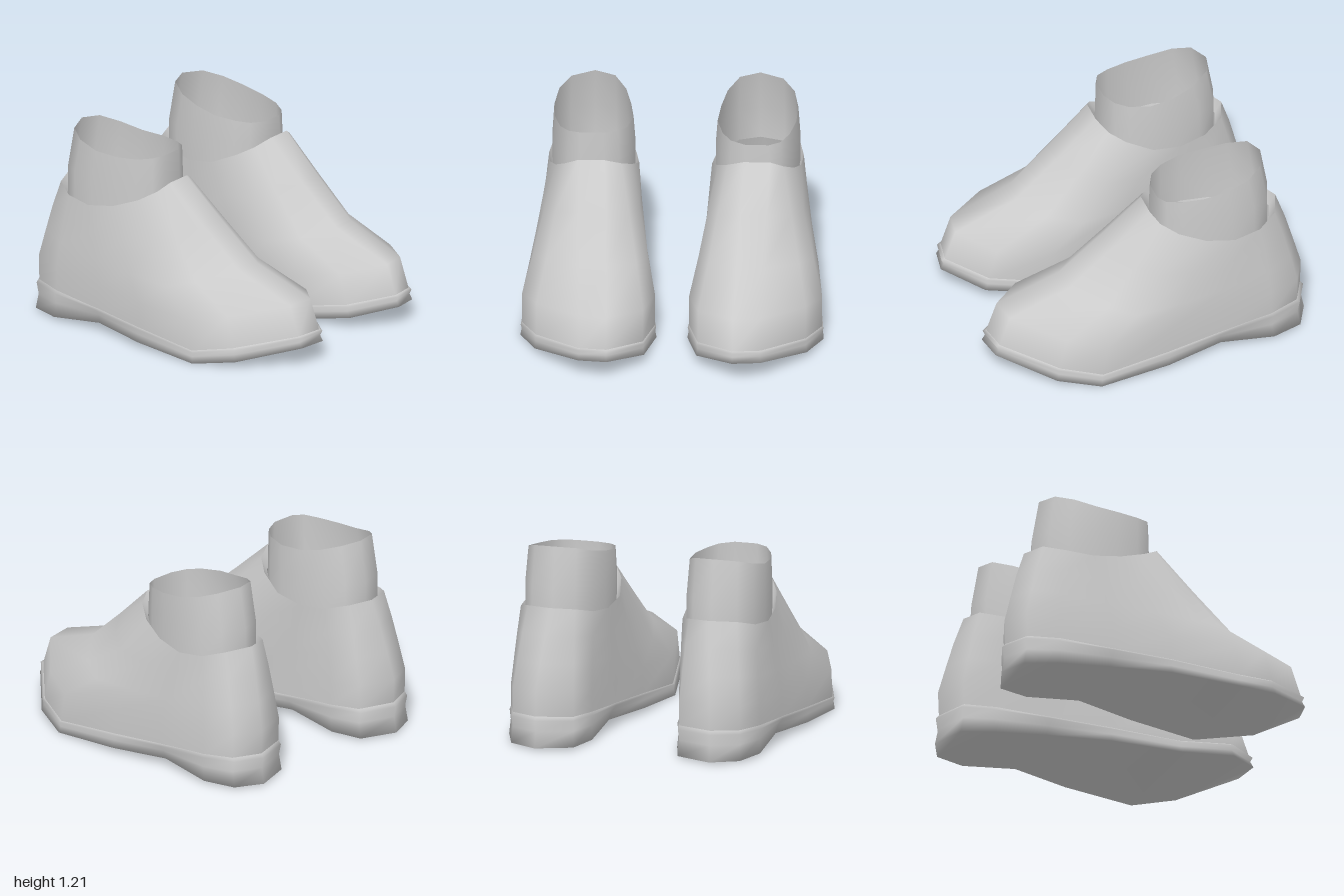
import * as THREE from 'three';

const lerp = THREE.MathUtils.lerp;
const clamp = THREE.MathUtils.clamp;

// Plan outline [x, z]: toe, outer side, heel, inner side and back to the toe
const outline = [
  [0.55, 0.97], [0.82, 0.67], [0.915, 0.42], [0.88, -0.02], [0.83, -0.38],
  [0.79, -0.72], [0.72, -0.91], [0.55, -0.99], [0.33, -0.91], [0.27, -0.72],
  [0.22, -0.38], [0.16, 0], [0.095, 0.43], [0.16, 0.79], [0.38, 1],
];
// Collar edge [x, y, z], point for point with the outline
const collar = [
  [0.58, 0.975, 0], [0.66, 0.93, -0.04], [0.72, 0.87, -0.14], [0.76, 0.81, -0.3], [0.77, 0.78, -0.48],
  [0.74, 0.8, -0.65], [0.66, 0.84, -0.77], [0.5, 0.85, -0.83], [0.36, 0.84, -0.78], [0.28, 0.8, -0.65],
  [0.24, 0.78, -0.48], [0.22, 0.81, -0.3], [0.26, 0.88, -0.14], [0.32, 0.93, -0.05], [0.42, 0.975, 0],
];
// Heights along z: [z, y]
const soleBottom = [[-1, 0.01], [-0.7, 0.015], [-0.5, 0.02], [-0.36, 0.055], [0, 0.03], [0.42, 0], [0.7, 0.04], [1, 0.12]];
const soleTop = [[-1, 0.21], [-0.8, 0.2], [0, 0.125], [0.42, 0.08], [0.7, 0.13], [1, 0.195]];

function heightAt(table, z) {
  for (let i = 1; i < table.length; i++) {
    const [z0, y0] = table[i - 1], [z1, y1] = table[i];
    if (z <= z1) return lerp(y0, y1, clamp((z - z0) / (z1 - z0), 0, 1));
  }
  return table[table.length - 1][1];
}

// Skin a stack of closed rings from bottom to top, with or without a floor
function loft(rings, floor = false) {
  const n = rings[0].length, index = [];
  for (let row = 0; row < (rings.length - 1) * n; row += n) {
    for (let i = 0; i < n; i++) {
      const a = row + i, b = row + (i + 1) % n;
      index.push(a, b, b + n, a, b + n, a + n);
    }
  }
  for (let i = 0; floor && i < (n - 1) / 2; i++) {
    const j = n - 1 - i;
    index.push(i, j, i + 1);
    if (j - 1 > i + 1) index.push(i + 1, j, j - 1);
  }
  const g = new THREE.BufferGeometry();
  g.setAttribute('position', new THREE.Float32BufferAttribute(rings.flat(2), 3));
  g.setIndex(index);
  g.computeVertexNormals();
  return g;
}

// Outline scaled about the middle of the shoe
const plan = (s) => outline.map(([x, z]) => [0.5 + (x - 0.5) * s, z * s]);

// Ring of the sole between its lower and upper edge, drawn in at the waist
function soleRing(s, t, waist) {
  return plan(s).map(([x, z]) => {
    const pinch = 1 - waist * clamp(1 - Math.abs(z + 0.38) / 0.3, 0, 1);
    return [0.53 + (x - 0.53) * pinch, lerp(heightAt(soleBottom, z), heightAt(soleTop, z), t), z];
  });
}

// Ring of the upper: blends in plan and height, apart for toe and heel
function upperRing(xBlend, zToe, yToe, zHeel, yHeel) {
  return plan(0.98).map(([x, z], i) => {
    const c = collar[i], w = clamp((z + 0.6) / 1.2, 0, 1);
    return [
      lerp(x, c[0], xBlend),
      lerp(heightAt(soleTop, z) - 0.01, c[1], lerp(yHeel, yToe, w)),
      lerp(z, c[2], lerp(zHeel, zToe, w)),
    ];
  });
}

// Ring of the sock, following the collar in plan
function sockRing(sx, sz, shift, height) {
  return collar.map(([x, , z]) => {
    const ringZ = -0.4 + (z + 0.4) * sz + shift;
    return [0.5 + (x - 0.5) * sx, height(ringZ), ringZ];
  });
}

function createShoe(side, sockFront) {
  const shoe = new THREE.Group();
  const material = new THREE.MeshStandardMaterial({ color: 0xcccccc, side: THREE.DoubleSide });
  // Mirroring reverses the ring order so faces keep pointing outward
  const mirror = (ring) => side > 0 ? ring : ring.map(([x, y, z]) => [-x, y, z]).reverse();
  const add = (name, rings, floor) => {
    const mesh = new THREE.Mesh(loft(rings.map(mirror), floor), material);
    mesh.name = name;
    shoe.add(mesh);
  };

  // Sole with a raised toe, a hollow side, an arch and a heel
  add('sole', [soleRing(1.005, 0, 0.15), soleRing(0.985, 0.5, 0.08), soleRing(1, 0.85, 0), soleRing(0.975, 1, 0)], true);

  // Upper, from the sole over the instep to the collar
  add('upper', [
    upperRing(0, 0, 0, 0, 0),
    upperRing(0, 0.07, 0.24, -0.04, 0.24),
    upperRing(0.32, 0.47, 0.425, 0.28, 0.5),
    upperRing(0.65, 0.74, 0.71, 0.6, 0.75),
    collar,
  ]);

  // Collar lining, folded inward and down
  const lining = collar.map(([x, y, z]) => [0.5 + (x - 0.5) * 0.92, y - 0.07, -0.4 + (z + 0.4) * 0.9]);
  add('collarLining', [lining, collar]);

  // Sock leaning forward, its rim climbing to the back
  const rim = [[-0.72, 1.21], [-0.62, 1.17], [-0.4, 1.115], [-0.15, lerp(1.1, sockFront, 0.5)], [-0.05, sockFront]];
  add('sock', [
    sockRing(0.92, 0.88, 0, () => 0.75),
    sockRing(0.92, 0.88, 0, () => 0.95),
    sockRing(0.88, 0.82, 0.02, (z) => heightAt(rim, z)),
  ]);
  return shoe;
}

export function createModel() {
  const model = new THREE.Group();
  model.name = 'pairOfShoes';
  const left = createShoe(1, 1.065);
  left.name = 'leftShoe';
  const right = createShoe(-1, 1.135);
  right.name = 'rightShoe';
  model.add(left, right);
  return model;
}
